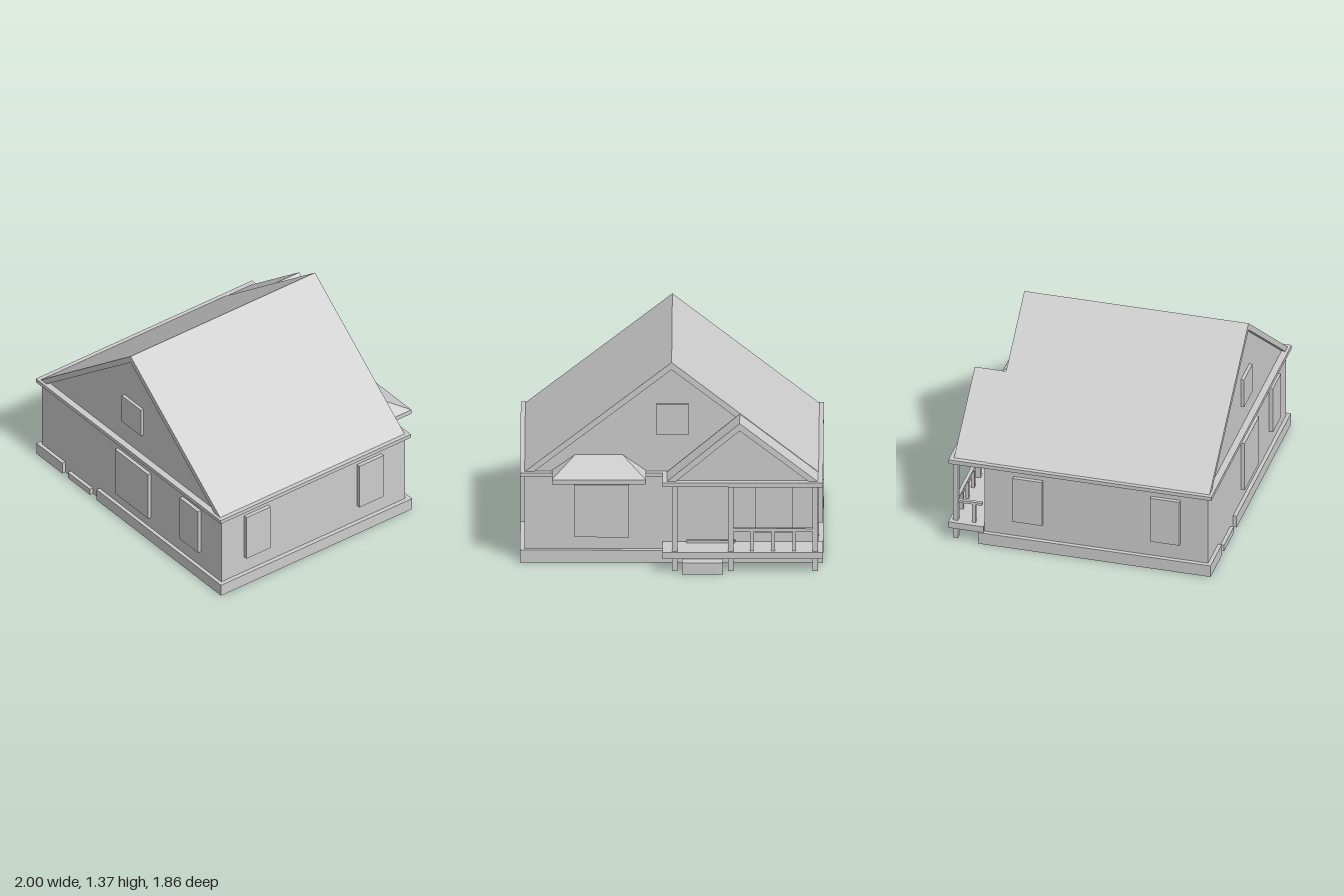
import * as THREE from 'three';
import { ConvexGeometry } from 'three/addons/geometries/ConvexGeometry.js';

const material = new THREE.MeshStandardMaterial({ color: 0xcccccc, flatShading: true });

export function createModel() {
  const house = new THREE.Group();
  house.name = 'house';

  const add = (name, geometry) => {
    const mesh = new THREE.Mesh(geometry, material);
    mesh.name = name;
    house.add(mesh);
    return mesh;
  };

  // Box given by its limits on each axis
  const box = (name, x0, x1, y0, y1, z0, z1) =>
    add(name, new THREE.BoxGeometry(x1 - x0, y1 - y0, z1 - z0))
      .position.set((x0 + x1) / 2, (y0 + y1) / 2, (z0 + z1) / 2);

  // Outline in the xy plane, extruded from z0 to z1
  const prism = (name, points, z0, z1) => {
    const shape = new THREE.Shape(points.map(([x, y]) => new THREE.Vector2(x, y)));
    add(name, new THREE.ExtrudeGeometry(shape, { depth: z1 - z0, bevelEnabled: false }))
      .position.z = z0;
  };

  // Walls, open underneath
  const T = 0.01;
  for (const s of [-1, 1]) {
    const [a, b] = s > 0 ? [0.97 - T, 0.97] : [-0.97, -0.97 + T];
    box('sideWall', a, b, 0, 0.59, -0.63, 0.9);
  }
  box('frontWall', -0.96, 0.96, 0, 0.59, 0.9 - T, 0.9);
  box('backWall', -0.96, 0.96, 0, 0.59, -0.63, -0.63 + T);

  // Foundation band with a gap for the front step
  box('foundationLeft', 0.97, 1, 0, 0.085, -0.665, 0.925);
  box('foundationRight', -1, -0.97, 0, 0.085, -0.665, 0.925);
  box('foundationBack', -0.97, 0.97, 0, 0.085, -0.665, -0.63);
  box('foundationFront', -0.35, 0.97, 0, 0.085, 0.9, 0.925);
  box('foundationFront', -0.97, -0.72, 0, 0.085, 0.9, 0.925);
  box('frontStep', -0.66, -0.42, 0, 0.045, 0.9, 0.925);

  // Eaves slabs of house and porch
  box('eaves', -1, 1, 0.588, 0.615, -0.655, 0.93);
  box('porchEaves', -1, 0.06, 0.585, 0.615, -0.87, -0.655);

  // Pitched roof shell with recessed gable walls at the listed depths
  const E = 0.615;
  const pitchedRoof = (name, xl, xa, ya, xr, z0, z1, gables) => {
    const inner = [[xr - 0.06, E], [xa, ya - 0.05], [xl + 0.06, E]];
    prism(name + 'Roof', [[xl, E], ...[...inner].reverse(), [xr, E], [xa, ya]], z0, z1);
    gables.forEach((z) => prism(name + 'Gable', inner, z - T / 2, z + T / 2));
  };
  pitchedRoof('main', -0.97, 0, 1.37, 0.97, -0.625, 0.91, [-0.6, 0.88]);
  pitchedRoof('porch', -0.965, -0.45, 1.015, 0.03, -0.84, -0.625, [-0.81]);

  // Windows and doors
  for (const z of [0.61, -0.33]) {
    box('leftWindow', 0.958, 0.997, 0.205, 0.54, z - 0.1, z + 0.1);
    box('rightWindow', -0.997, -0.958, 0.205, 0.54, z - 0.1, z + 0.1);
  }
  box('frontLargeWindow', -0.15, 0.21, 0.17, 0.53, 0.888, 0.925);
  box('frontSmallWindow', 0.55, 0.75, 0.205, 0.54, 0.888, 0.925);
  box('frontGableWindow', -0.1, 0.11, 0.78, 0.99, 0.88, 0.907);
  box('backGableWindow', -0.11, 0.1, 0.87, 1.08, -0.622, -0.6);
  box('backLargeWindow', 0.28, 0.64, 0.17, 0.53, -0.65, -0.618);
  box('porchWindow', -0.8, -0.55, 0.205, 0.54, -0.65, -0.618);
  box('porchDoor', -0.38, -0.13, 0.15, 0.53, -0.637, -0.62);
  box('doorSill', -0.42, -0.1, 0.135, 0.15, -0.66, -0.63);

  // Hipped canopy over the large back window
  box('canopySlab', 0.17, 0.79, 0.588, 0.62, -0.82, -0.63);
  const hip = [
    [0.17, 0.62, -0.82], [0.79, 0.62, -0.82], [0.17, 0.62, -0.61],
    [0.79, 0.62, -0.61], [0.325, 0.73, -0.61], [0.635, 0.73, -0.61],
  ];
  add('canopyRoof', new ConvexGeometry(hip.map((p) => new THREE.Vector3(...p))));

  // Porch floor, step and pillars
  box('porchFloor', -1, 0.06, 0.09, 0.135, -0.87, -0.63);
  box('porchStep', -0.34, -0.07, 0, 0.08, -0.93, -0.815);
  for (const x of [-0.95, -0.39, -0.02]) {
    box('porchPillar', x - 0.018, x + 0.018, 0, 0.59, -0.847, -0.812);
  }

  // Porch railing
  const post = (x, z) => box('railPost', x - 0.012, x + 0.012, 0.13, 0.275, z - 0.012, z + 0.012);
  box('frontRail', -0.94, -0.4, 0.272, 0.29, -0.842, -0.818);
  [-0.53, -0.67, -0.81].forEach((x) => post(x, -0.83));
  for (const x of [-0.95, -0.02]) {
    box('sideRail', x - 0.012, x + 0.012, 0.272, 0.29, -0.82, -0.65);
    post(x, -0.705);
  }

  return house;
}
